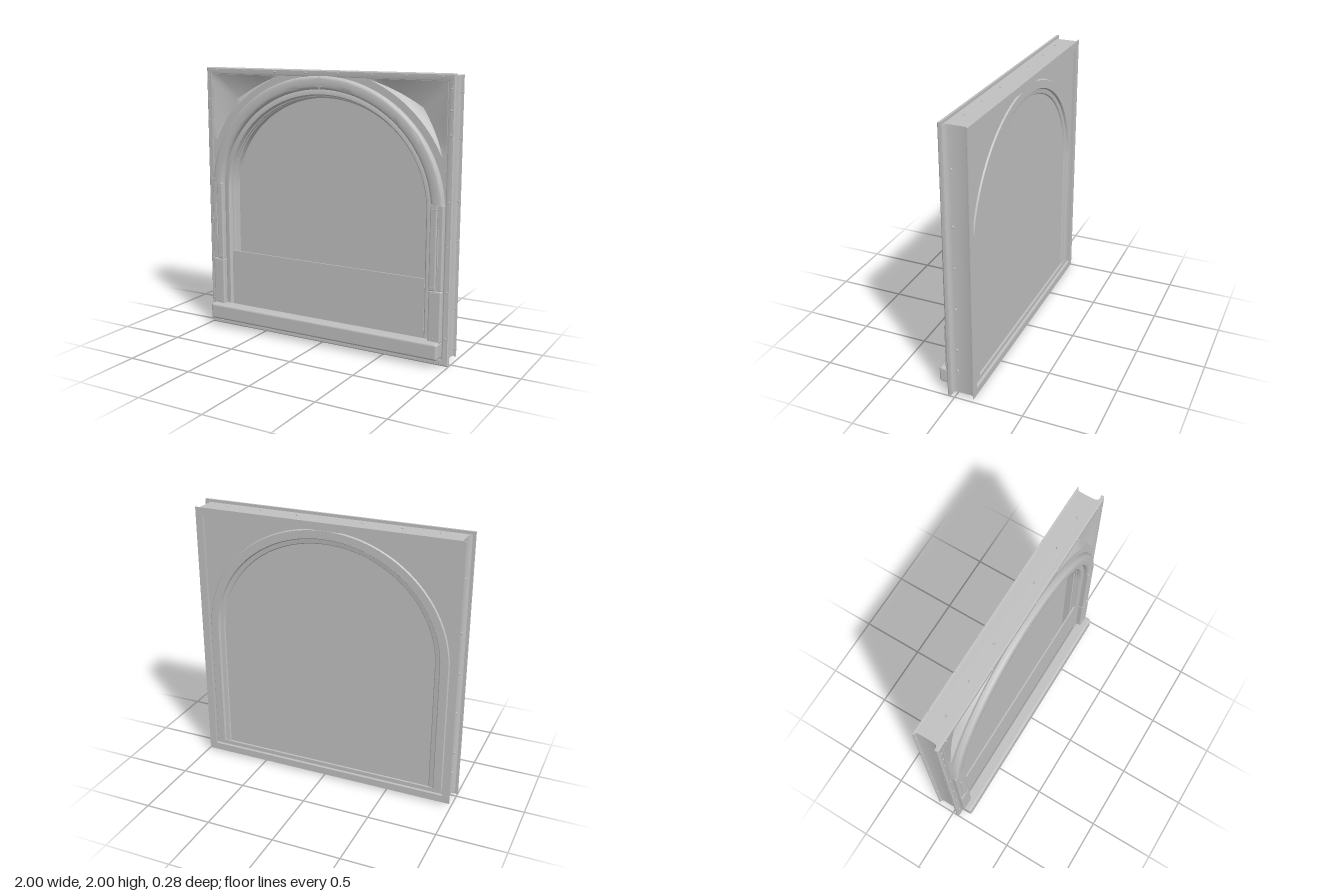
import * as THREE from 'three';
import { toCreasedNormals } from 'three/addons/utils/BufferGeometryUtils.js';
import { RoundedBoxGeometry } from 'three/addons/geometries/RoundedBoxGeometry.js';

const CY = 1.07;   // height where the arch springs
const FLAT = 0.06; // how much lower the arch is than a half circle

export function createModel() {
  const model = new THREE.Group();
  const metal = new THREE.MeshStandardMaterial({ color: 0xc0c0c0, side: THREE.DoubleSide });
  metal.name = 'greyMetal';

  const add = (name, geometry, x = 0, y = 0, z = 0) => {
    const mesh = new THREE.Mesh(geometry, metal);
    mesh.name = name;
    mesh.position.set(x, y, z);
    model.add(mesh);
    return mesh;
  };
  const plate = (shape, depth) =>
    new THREE.ExtrudeGeometry(shape, { depth, bevelEnabled: false, curveSegments: 56 });

  // Outline of an arched opening with straight legs
  const archOutline = (r, foot, Type = THREE.Shape) => {
    const s = new Type();
    s.moveTo(-r, foot);
    s.lineTo(r, foot);
    s.lineTo(r, CY);
    s.absellipse(0, CY, r, r - FLAT, 0, Math.PI, false, 0);
    s.lineTo(-r, foot);
    return s;
  };
  const rectangle = (half, low, high) => new THREE.Shape([
    new THREE.Vector2(-half, low), new THREE.Vector2(half, low),
    new THREE.Vector2(half, high), new THREE.Vector2(-half, high)]);

  // Surface through a grid of points: rows of [x, y, z]
  const gridSurface = (rows, crease) => {
    const n = rows[0].length, index = [];
    for (let i = 0; i < rows.length - 1; i++)
      for (let j = 0; j < n - 1; j++) {
        const a = i * n + j, b = a + n;
        index.push(a, b, a + 1, b, b + 1, a + 1);
      }
    const g = new THREE.BufferGeometry();
    g.setAttribute('position', new THREE.Float32BufferAttribute(rows.flat(2), 3));
    g.setIndex(index);
    return toCreasedNormals(g, crease);
  };

  // Sweep a [radius, z] profile round the arch, with optional straight legs to a foot height
  const archSweep = (profile, start = 0, foot = null) => {
    const rows = [], steps = 56;
    const leg = (side) => profile.map(([r, z]) => [side * r, foot, z]);
    if (foot !== null) rows.push(leg(1));
    for (let i = 0; i <= steps; i++) {
      const t = start + (Math.PI - 2 * start) * i / steps;
      rows.push(profile.map(([r, z]) => [r * Math.cos(t), CY + (r - FLAT) * Math.sin(t), z]));
    }
    if (foot !== null) rows.push(leg(-1));
    return gridSurface(rows, 0.7);
  };

  // Square channel frame: a four-sided lathe of its [half size, z] profile
  const channel = [
    [0.93, -0.11], [0.93, -0.138], [0.985, -0.138], [0.985, -0.132], [0.966, -0.127],
    [0.96, -0.11], [0.96, 0], [0.966, 0.018], [0.98, 0.03], [1, 0.03], [1, 0.046],
    [0.992, 0.054], [0.96, 0.054], [0.95, 0.049],
  ].map(([h, z]) => new THREE.Vector2(h * Math.SQRT2, z));
  const frame = new THREE.LatheGeometry(channel, 4).rotateY(Math.PI / 4).rotateX(Math.PI / 2);
  // The web is shallower at the top and bottom than at the sides
  const fp = frame.attributes.position;
  for (let i = 0; i < fp.count; i++) {
    const y = fp.getY(i), h = Math.abs(y);
    if (h > 0.955 && h < 0.984 && fp.getZ(i) < 0.035) fp.setY(i, Math.sign(y) * 0.98);
  }
  add('channelFrame', toCreasedNormals(frame, 0.6), 0, 1, 0);

  // Front plate with the arched opening and two dished corners
  const front = rectangle(0.96, 0.04, 1.96);
  front.holes.push(archOutline(0.84, 0.1, THREE.Path));
  const section = [[0, 0], [0.08, 0.6], [0.18, 1], [0.4, 0.75], [0.7, 0.4], [1, 0]];
  for (const side of [-1, 1]) {
    const rows = [];
    for (let i = 0; i <= 28; i++) {
      const u = i / 28, t = 0.42 + (1.18 - 0.42) * u;
      const c = Math.cos(t), s = Math.sin(t);
      const outer = Math.min(0.945 / c, (1.95 - CY) / s + FLAT);
      const row = section.map(([v, d]) => {
        const r = 1 + (outer - 1) * v;
        return [side * r * c, CY + (r - FLAT) * s, 0.05 - 0.045 * d * Math.sin(Math.PI * u)];
      });
      rows.push(side > 0 ? row.reverse() : row);
    }
    const first = rows.map((row) => new THREE.Vector2(row[0][0], row[0][1]));
    const last = rows.map((row) => new THREE.Vector2(row.at(-1)[0], row.at(-1)[1]));
    front.holes.push(new THREE.Path([...first, ...last.reverse()]));
    add('cornerRecess', gridSurface(rows, 0.6));
  }
  add('frontPlate', plate(front, 0.012), 0, 0, 0.038);

  // Stepped lining of the opening
  add('archLining', archSweep([
    [0.858, 0.048], [0.85, 0.053], [0.82, 0.053], [0.812, 0.044], [0.81, 0.02],
    [0.802, 0.018], [0.8, 0.005], [0.792, 0], [0.79, -0.05]], 0, 0.1));

  // Rounded arch tube
  const tube = [];
  for (let i = 0; i <= 12; i++) {
    const a = Math.PI * i / 12;
    const c = Math.cos(a), s = Math.sin(a);
    tube.push([0.9025 + 0.0475 * Math.sign(c) * Math.sqrt(Math.abs(c)), 0.04 + 0.05 * Math.sqrt(Math.abs(s))]);
  }
  add('archTube', archSweep(tube, 0.07));
  add('tubeSeam', new THREE.BoxGeometry(0.004, 0.09, 0.004), 0, 1.913, 0.088);

  // Back plate, its arch moulding and the pane
  const back = rectangle(0.935, 0.06, 1.94);
  back.holes.push(archOutline(0.86, 0.1, THREE.Path));
  add('backPlate', plate(back, 0.015), 0, 0, -0.116);
  add('rearMoulding', archSweep([
    [0.812, -0.098], [0.82, -0.108], [0.85, -0.112], [0.858, -0.126], [0.915, -0.126], [0.922, -0.116]], 0, 0.1));
  add('pane', plate(archOutline(0.86, 0.1), 0.05), 0, 0, -0.1);

  // Lower panel and sill
  add('lowerPanel', new THREE.BoxGeometry(1.61, 0.5, 0.01), 0, 0.35, 0.033);
  add('sill', new RoundedBoxGeometry(1.9, 0.12, 0.1, 4, 0.018), 0, 0.12, 0.09);

  // Bolts
  const ball = new THREE.SphereGeometry(0.0075, 8, 6);
  const bolt = (x, y, z, scale = 1) => add('bolt', ball, x, y, z).scale.setScalar(scale);

  for (const side of [-1, 1]) {
    // Posts below the arch, with a recessed outer strip
    add('lowerPost', new RoundedBoxGeometry(0.095, 0.37, 0.06, 3, 0.012), side * 0.9025, 0.355, 0.06);
    add('upperPost', new RoundedBoxGeometry(0.052, 0.6, 0.06, 3, 0.01), side * 0.881, 0.835, 0.06);
    add('postStrip', new RoundedBoxGeometry(0.05, 0.6, 0.05, 3, 0.01), side * 0.925, 0.835, 0.058);
    add('postHandle', new RoundedBoxGeometry(0.01, 0.27, 0.02, 2, 0.004), side * 0.915, 0.83, 0.08);
    for (const y of [0.2, 0.52, 0.56, 1.1])
      for (const x of [0.873, 0.895]) bolt(side * x, y, 0.089, 0.7);
    for (const x of [0.89, 0.925]) bolt(side * x, 1.155, 0.087, 0.7);

    // Flange and web bolts
    for (const y of [0.2, 0.53, 0.84, 1.15, 1.6, 1.76, 1.9]) bolt(side * 0.975, y, 0.054);
    for (const x of [0.13, 0.39, 0.65, 0.91]) bolt(side * x, 1.978, 0.054);
    bolt(side * 0.9, 0.028, 0.054);
    for (const y of [0.2, 0.37, 0.69, 1, 1.3, 1.69]) bolt(side * 0.962, y, -0.012, 1.2);
    for (const y of [0.07, 0.37, 0.85, 1.13, 1.56, 1.87]) bolt(side * 0.972, y, -0.13);
    for (const x of [0.24, 0.525, 0.785]) bolt(side * x, 1.981, -0.025, 1.2);
    for (const x of [0.26, 0.525, 0.81]) bolt(side * x, 1.98, -0.132);
  }
  for (const y of [1.885, 1.94])
    for (const x of [-0.013, 0.013]) bolt(x, y, 0.088, 0.7);

  return model;
}
